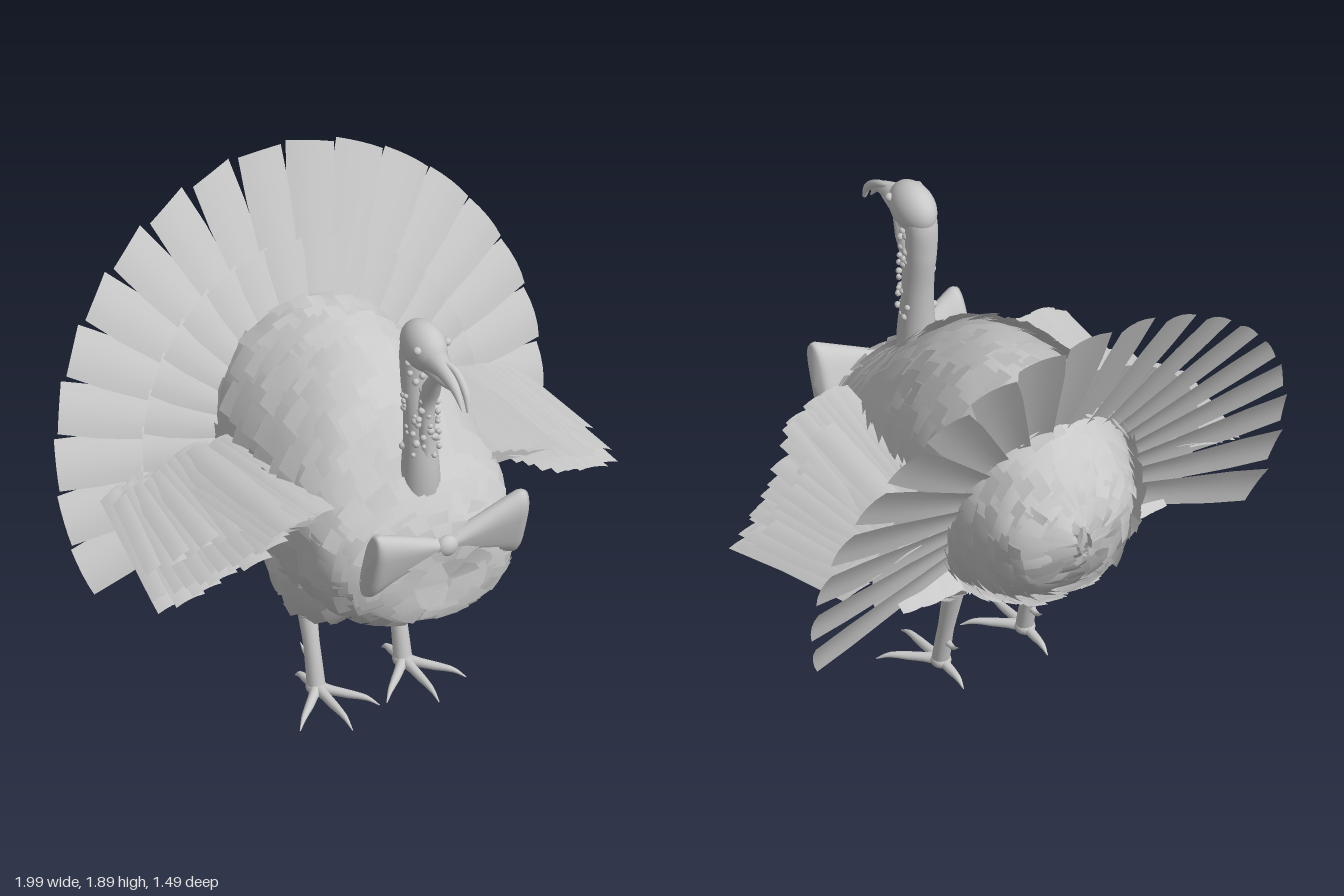
import * as THREE from 'three';
import { mergeGeometries } from 'three/addons/utils/BufferGeometryUtils.js';

const V = (x, y, z) => new THREE.Vector3(x, y, z);
let seed = 7;
const rnd = () => (seed = (seed * 16807) % 2147483647) / 2147483647;
const jit = (a) => (rnd() * 2 - 1) * a;

// Grid surface from a rule fn(u, v) -> Vector3
function sheet(nu, nv, fn) {
  const pos = [], idx = [];
  for (let i = 0; i <= nu; i++)
    for (let j = 0; j <= nv; j++) pos.push(...fn(i / nu, j / nv).toArray());
  for (let i = 0; i < nu; i++)
    for (let j = 0; j < nv; j++) {
      const a = i * (nv + 1) + j, b = a + nv + 1;
      idx.push(a, a + 1, b, a + 1, b + 1, b);
    }
  const g = new THREE.BufferGeometry();
  g.setAttribute('position', new THREE.Float32BufferAttribute(pos, 3));
  g.setIndex(idx);
  g.computeVertexNormals();
  return g;
}

// Feather blade from a to b, widening from wa to wb, arched along up
function blade(a, b, side, up, wa, wb, arch) {
  return sheet(5, 4, (u, v) => {
    const c = 2 * v - 1;
    return a.clone().lerp(b, u - 0.01 * c * c * u)
      .addScaledVector(side, (c / 2) * THREE.MathUtils.lerp(wa, wb, Math.min(1, u * 1.25)))
      .addScaledVector(up, arch * (1 - c * c));
  });
}

// Oval surface through sections [z, yBottom, yTop, halfWidth], narrower above than below
function ovalSurface(rows, x0 = 0) {
  const c1 = new THREE.CatmullRomCurve3(rows.map((r) => V(r[0], r[1], r[2])), false, 'catmullrom');
  const c2 = new THREE.CatmullRomCurve3(rows.map((r) => V(r[3], 0, 0)), false, 'catmullrom');
  const at = (u, v) => {
    const t = THREE.MathUtils.clamp(u, 0, 1), p = c1.getPoint(t), w = c2.getPoint(t).x;
    const a = v * Math.PI * 2, c = Math.cos(a);
    return V(x0 + w * Math.sign(c) * Math.abs(c) ** (Math.sin(a) > 0 ? 1.1 : 0.82),
      (p.y + p.z) / 2 + Math.sin(a) * (p.z - p.y) / 2, p.x);
  };
  at.width = (u) => c2.getPoint(u).x;
  return at;
}

// Overlapping ragged feathers laid in rings over a surface, shaggier towards the rear
function shingles(at, centre, rings, perWidth, lift) {
  const list = [];
  for (let i = 0; i < rings; i++) {
    const u = i / rings, n = Math.round(8 + perWidth * at.width(u));
    const shag = lift * (u > 0.7 ? 1.35 : 1);
    for (let j = 0; j < n; j++) {
      const v = (j + (i % 2) / 2 + jit(0.25)) / n, len = (1.8 + jit(0.5)) / rings;
      const rise = shag * (0.95 + jit(0.45)), twist = jit(shag * 0.6), w = (1.25 + jit(0.2)) / n;
      list.push(sheet(2, 2, (a, b) => {
        const p = at(u + a * len, v + (b - 0.5) * w);
        const out = p.clone().sub(V(centre.x, centre.y, centre.z + p.z * 0.7)).normalize();
        return p.addScaledVector(out, 0.003 + a * (rise + (b - 0.5) * twist));
      }));
    }
  }
  return mergeGeometries(list);
}

// Smooth tube whose radius follows a list of radii
function taper(pts, radii, seg = 20, sides = 14) {
  const curve = new THREE.CatmullRomCurve3(pts.map((p) => V(...p)));
  const g = new THREE.TubeGeometry(curve, seg, 1, sides), p = g.attributes.position, q = V();
  for (let i = 0; i <= seg; i++) {
    const c = curve.getPointAt(i / seg), f = (i / seg) * (radii.length - 1);
    const k = Math.min(Math.floor(f), radii.length - 2);
    const r = THREE.MathUtils.lerp(radii[k], radii[k + 1], f - k);
    for (let j = 0; j <= sides; j++) {
      const n = i * (sides + 1) + j;
      q.fromBufferAttribute(p, n).sub(c).multiplyScalar(r).add(c);
      p.setXYZ(n, q.x, q.y, q.z);
    }
  }
  return g;
}

function ball(x, y, z, rx, ry = rx, rz = rx, n = 10) {
  return new THREE.SphereGeometry(1, n * 2, n).scale(rx, ry, rz).translate(x, y, z);
}

export function createModel() {
  seed = 7;
  const grey = new THREE.MeshStandardMaterial({ color: 0xc8c8c8, side: THREE.DoubleSide });
  grey.name = 'light grey';
  const model = new THREE.Group();
  const add = (name, geo, parent = model) => {
    const m = new THREE.Mesh(geo, grey);
    m.name = name;
    parent.add(m);
  };

  // Body and its plumage
  const body = ovalSurface([[0.63, 0.8, 0.84, 0.01], [0.605, 0.71, 0.97, 0.19], [0.53, 0.64, 1.06, 0.3],
    [0.4, 0.56, 1.17, 0.365], [0.2, 0.49, 1.355, 0.38], [0, 0.46, 1.445, 0.385], [-0.2, 0.49, 1.465, 0.385],
    [-0.38, 0.55, 1.43, 0.37], [-0.5, 0.62, 1.33, 0.315], [-0.6, 0.73, 1.18, 0.23], [-0.64, 0.9, 1.0, 0.02]]);
  add('body', sheet(50, 48, body));
  add('bodyFeathers', shingles(body, V(0, 0.95, 0), 30, 70, 0.026));

  // Tail fan: long feathers behind, a shorter round layer in front
  const fanPoint = (a, r, dz) => V(Math.sin(a) * r, 0.9 + Math.cos(a) * r,
    -0.33 - r * (0.12 + 0.28 * Math.cos(a)) + dz);
  const fan = (step, r1, wa, wb, dz, twist) => {
    const list = [];
    for (let i = -9; i <= 9; i++) {
      const a = i * step;
      const side = V(Math.cos(a), -Math.sin(a), twist * Math.sign(i) + 0.2 * Math.sin(a));
      list.push(blade(fanPoint(a, 0.2, dz), fanPoint(a, r1, dz), side, V(0, 0, 1), wa, wb, 0.012));
    }
    return mergeGeometries(list);
  };
  add('tailFan', fan(0.209, 1.0, 0.09, 0.178, 0, 0.22));
  add('tailCoverts', fan(0.2, 0.69, 0.07, 0.155, 0.045, 0.16));

  // Neck, head and beak
  const head = new THREE.Group();
  head.name = 'head';
  model.add(head);
  add('neck', taper([[0, 1.02, 0.41], [0, 1.2, 0.425], [0, 1.4, 0.415], [0, 1.58, 0.395], [0, 1.72, 0.405],
    [0, 1.75, 0.47]], [0.08, 0.073, 0.06, 0.055, 0.06, 0.06], 32, 20), head);
  add('skull', ball(0, 1.735, 0.45, 0.075, 0.095, 0.115, 16), head);
  add('upperBeak', taper([[0, 1.725, 0.51], [0, 1.71, 0.6], [0, 1.675, 0.68], [0, 1.61, 0.725]],
    [0.058, 0.034, 0.02, 0.003]), head);
  add('lowerBeak', taper([[0, 1.685, 0.52], [0, 1.665, 0.59], [0, 1.66, 0.67]], [0.042, 0.02, 0.002]), head);
  add('snood', taper([[0, 1.745, 0.56], [0.022, 1.725, 0.64], [0.026, 1.67, 0.705], [0.02, 1.605, 0.738]],
    [0.008, 0.014, 0.016, 0.008]), head);
  add('wattle', taper([[0, 1.68, 0.56], [0, 1.62, 0.525], [0, 1.5, 0.475], [0, 1.34, 0.47], [0, 1.22, 0.47]],
    [0.02, 0.036, 0.03, 0.03, 0.01]), head);
  const bumps = [];
  for (let i = 0; i < 66; i++) {
    const y = 1.27 + 0.39 * rnd(), a = jit(1.9), r = 0.062 - (y - 1.27) * 0.03;
    const front = Math.cos(a) > 0.4 ? 0.025 : 0;
    bumps.push(ball(Math.sin(a) * r, y, 0.413 + Math.cos(a) * r + front, 0.008 + 0.007 * rnd(), undefined, undefined, 5));
  }
  add('neckBumps', mergeGeometries(bumps), head);

  // Bow tie
  const bow = new THREE.Group();
  bow.name = 'bowTie';
  bow.position.set(0, 0.965, 0.598);
  bow.rotation.x = 0.3;
  model.add(bow);
  add('bowKnot', ball(0, 0, 0.015, 0.045, 0.045, 0.035), bow);

  for (const s of [-1, 1]) {
    const tag = s > 0 ? 'left' : 'right';
    add('eye', ball(s * 0.062, 1.765, 0.51, 0.016), head);

    // Flared bow lobe with rounded outer end
    add(tag + 'BowLobe', sheet(24, 32, (u, v) => {
      const a = -s * v * Math.PI * 2, end = u > 0.85 ? Math.sqrt(Math.max(0, 1 - ((u - 0.85) / 0.15) ** 2)) : 1;
      const h = (0.025 + 0.135 * Math.min(1, u * 1.12)) * (0.8 + 0.2 * end) * (u === 1 ? 0 : 1);
      const c = Math.cos(a), d = (0.03 + 0.025 * u) * end;
      return V(s * (0.02 + 0.31 * u), h * Math.sign(c) * Math.abs(c) ** 0.6, d * Math.sin(a));
    }), bow);

    // Wing: drooping inner feathers, layered outer feathers and upper coverts
    const wing = new THREE.Group();
    wing.name = tag + 'Wing';
    model.add(wing);
    const row = (name, n, from, to, slope, w, arch) => {
      const list = [], side = V(s, -slope, 0).normalize(), up = V(s * slope, 1, 0).normalize();
      for (let i = 0; i < n; i++) {
        const t = i / (n - 1), a = from(t), b = to(t);
        a.y += jit(0.01); a.z += jit(0.02); b.z += jit(0.02);
        a.x *= s; b.x *= s;
        list.push(blade(a, b, side, up, w, w, arch));
      }
      add(name, mergeGeometries(list), wing);
    };
    row('innerFeathers', 5, (t) => V(0.36 + 0.16 * t, 1.07 - 0.02 * t, 0.36), (t) => V(0.36 + 0.16 * t, 0.65, -0.36), 0.05, 0.1, 0.003);
    row('upperCoverts', 8, (t) => V(0.38 + 0.19 * t, 1.1 - 0.05 * t * t, 0.37), (t) => V(0.4 + 0.19 * t, 1.06 - 0.08 * t, -0.26), 0.2, 0.1, 0.01);
    row('outerFeathers', 11, (t) => V(0.54 + 0.36 * t, 1.05 - 0.26 * t ** 0.7, 0.36 - 0.21 * t),
      (t) => V(0.52 + 0.28 * t, 0.98 - 0.1 * t ** 0.8, -0.4), 0.3, 0.12, 0.01);
    row('outerCoverts', 9, (t) => V(0.52 + 0.36 * t, 1.06 - 0.21 * t ** 0.8, 0.24 - 0.16 * t),
      (t) => V(0.52 + 0.28 * t, 1.02 - 0.11 * t, -0.32), 0.3, 0.11, 0.01);
    row('lowerFeathers', 7, (t) => V(0.54 + 0.36 * t, 0.96 - 0.19 * t ** 0.7, 0.3 - 0.1 * t),
      (t) => V(0.52 + 0.28 * t, 0.91 - 0.04 * t, -0.36), 0.18, 0.12, 0.008);

    // Thigh tuft blending into the belly
    const thigh = ovalSurface([[0.26, 0.54, 0.7, 0.03], [0.18, 0.48, 0.8, 0.08], [0.06, 0.42, 0.85, 0.105],
      [-0.04, 0.39, 0.85, 0.11], [-0.13, 0.44, 0.8, 0.1], [-0.2, 0.54, 0.72, 0.02]], s * 0.2);
    add(tag + 'Thigh', sheet(16, 20, thigh));
    add(tag + 'ThighFeathers', shingles(thigh, V(s * 0.2, 0.6, 0), 9, 90, 0.026));

    // Leg, spur and toes
    const leg = new THREE.Group();
    leg.name = tag + 'Leg';
    leg.position.x = s * 0.18;
    model.add(leg);
    add('shank', taper([[0, 0.55, -0.13], [0, 0.38, -0.085], [0, 0.2, -0.04], [0, 0.055, -0.01]],
      [0.045, 0.038, 0.03, 0.034]), leg);
    add('ankle', ball(0, 0.05, -0.01, 0.038, 0.03, 0.042), leg);
    add('spur', taper([[0, 0.16, -0.04], [0, 0.155, -0.09], [0, 0.175, -0.125]], [0.014, 0.01, 0.001]), leg);
    for (const [x, z] of [[0, 0.25], [s * 0.165, 0.16], [-s * 0.165, 0.16], [0, -0.16]]) {
      add('toe', taper([[0, 0.05, -0.005], [x * 0.45, 0.043, z * 0.45], [x * 0.8, 0.035, z * 0.8], [x, 0.012, z]],
        [0.025, 0.018, 0.016, 0.011, 0.002]), leg);
    }
  }
  return model;
}
